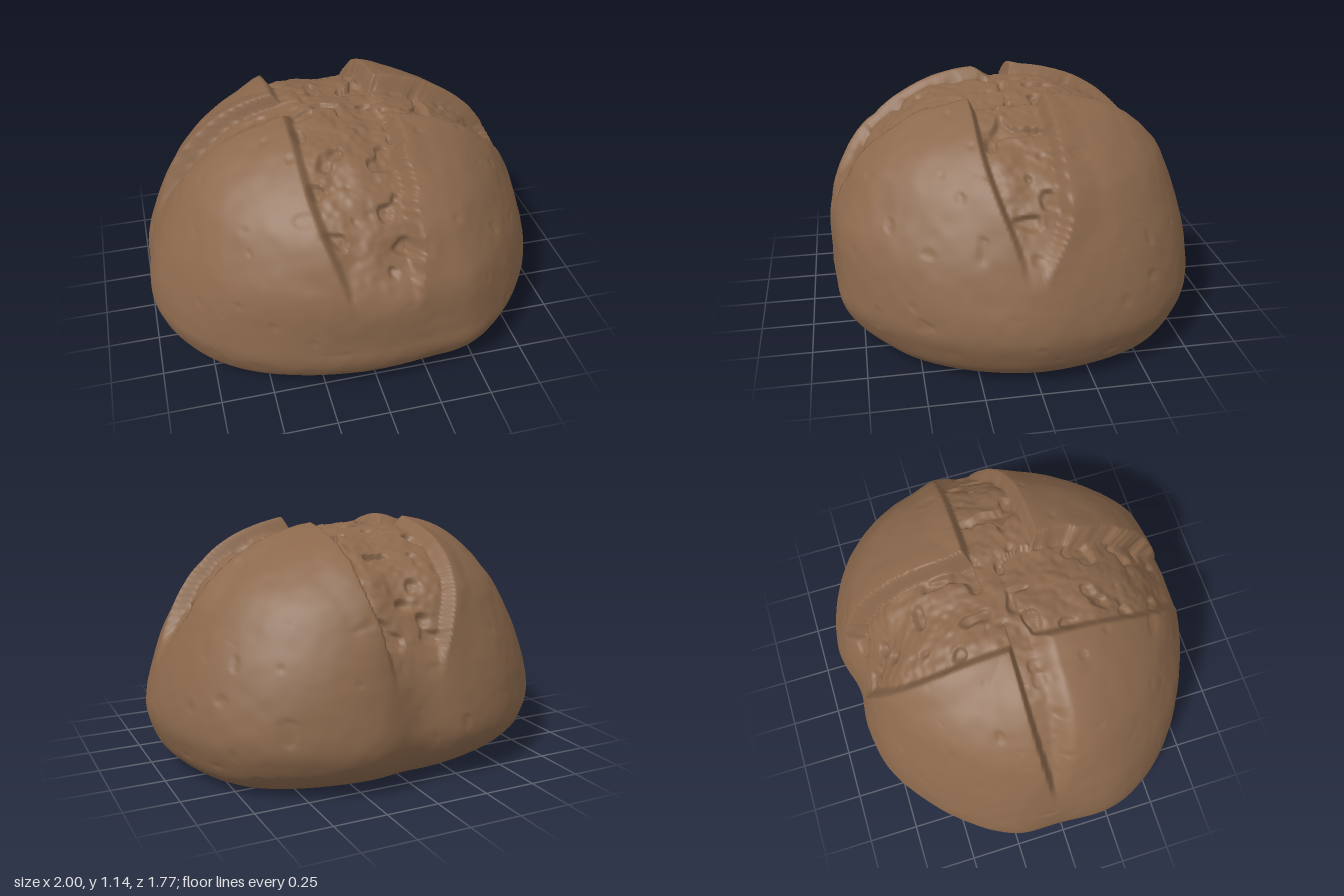
import * as THREE from 'three';

const AROUND = 390, UNDER_ROWS = 25, ROWS = 190;
const { smoothstep: smooth, lerp, clamp } = THREE.MathUtils;

// Smooth seeded value noise, -1 to 1
function hash(x, y, z) {
  const s = Math.sin(x * 127.1 + y * 311.7 + z * 74.7) * 43758.5453;
  return (s - Math.floor(s)) * 2 - 1;
}
function noise(x, y, z) {
  const i = Math.floor(x), j = Math.floor(y), k = Math.floor(z);
  const u = smooth(x - i, 0, 1), v = smooth(y - j, 0, 1), w = smooth(z - k, 0, 1);
  const row = (b, c) => lerp(hash(i, b, c), hash(i + 1, b, c), u);
  return lerp(lerp(row(j, k), row(j + 1, k), v), lerp(row(j, k + 1), row(j + 1, k + 1), v), w);
}

// Plan outline: radius every 15 degrees, from +x towards +z
const radii = [1.01, .995, .985, .975, .965, .905, .89, .895, .92, .96, .995, 1.015,
  .975, .985, .955, .925, .905, .865, .83, .91, .965, 1.005, 1.025, 1.015];
const outline = new THREE.CatmullRomCurve3(radii.map((r, i) => {
  const a = i * Math.PI / 12;
  return new THREE.Vector3(r * Math.cos(a), 0, r * Math.sin(a));
}), true);

// Side profile: fraction of the outline and height, underside to crown
const profile = new THREE.SplineCurve([[0, .025], [.45, .02], [.72, .012], [.85, .027], [.935, .088],
  [.98, .18], [1, .28], [.975, .425], [.91, .605], [.8, .81], [.72, .91], [.6, 1.01], [.45, 1.085],
  [.25, 1.135], [0, 1.155]].map(p => new THREE.Vector2(...p)));

// A cut between two edges: 1 inside, 0 outside, plus a raised lip just outside.
// A wide ramp gives a sloping side instead of a sharp wall.
function band(p, lo, hi, lipLo, lipHi, rampLo = .012, rampHi = .012) {
  const a = p - lo, b = hi - p;
  const lip = a < b ? lipLo * smooth(a, -.16, 0) : lipHi * smooth(b, -.16, 0);
  return { inside: smooth(a, -.006, rampLo) * smooth(b, -.006, rampHi), lip };
}

// Radial displacement of the crust: the cross-shaped cut with its torn floor
function displacement(x, y, z) {
  const open = smooth(y, .48, .82), rise = smooth(y, .5, 1.08);
  const jag = .025 * noise(x * 9, y * 9, z * 9) + .01 * noise(x * 22, y * 22, z * 22);
  const lengthways = z > 0
    ? band(x, lerp(-.14, -.27, rise), lerp(.17, .21, rise) + jag, .01, .012, .03)
    : band(x, lerp(-.12, -.28, rise), lerp(.13, .23, rise) + jag * .5, .02, .012);
  const across = x > 0
    ? band(z, lerp(-.02, -.14, smooth(y, .5, .8)), lerp(.06, .2, rise), .018, .012)
    : band(z, lerp(-.04, -.08, rise), lerp(.01, .12, rise), .025, .002, .012, .1);
  // The floor is deeper towards +x
  const deep = Math.max(lengthways.inside * (.06 + .1 * clamp(x, -.2, .2)),
    across.inside * (x > 0 ? .06 : .045));
  const cut = Math.max(lengthways.inside, across.inside);
  const lip = Math.max(lengthways.lip, across.lip) * (1 - cut);
  const torn = .015 * noise(x * 8 + 5, y * 8, z * 8)
    - .025 * smooth(noise(x * 13, y * 13, z * 13), .3, .5)
    + .005 * noise(x * 30, y * 30, z * 30);
  const rough = x < -.3 ? .4 : 1;
  const crust = .006 * noise(x * 4, y * 4, z * 4) + .002 * noise(x * 16, y * 16, z * 16)
    - .005 * smooth(noise(x * 13 + 9, y * 13, z * 13), .6, .8);
  return crust * smooth(y, .02, .2) + open * (lip + cut * torn * rough - deep);
}

// How much the shoulder swells towards the front and back
function fullness(y, z) {
  return z > 0
    ? 1 + .09 * z * smooth(y, .3, .65) * (1 - .3 * smooth(y, .8, 1.05))
    : 1 - .065 * z * smooth(y, .3, 1);
}

function loafGeometry() {
  const positions = [], index = [];
  // Sparse rows underneath, dense rows over the crust
  const rows = Array.from({ length: ROWS + 1 }, (_, i) => profile.getPointAt(i < UNDER_ROWS
    ? .34 * i / UNDER_ROWS : lerp(.34, 1, (i - UNDER_ROWS) / (ROWS - UNDER_ROWS))));
  const edge = Array.from({ length: AROUND }, (_, j) => outline.getPoint(j / AROUND));
  const centre = new THREE.Vector3(0, .35, 0), p = new THREE.Vector3(), out = new THREE.Vector3();
  rows.forEach(({ x: f, y }) => {
    for (const e of edge) {
      // The underside lifts at the front and back, and most at the back -x corner
      const corner = .03 * smooth(-(e.x + e.z) * f, .7, 1.2);
      const lift = (.05 * smooth(Math.abs(e.z) * f, .5, .9) + corner) * (1 - smooth(y, .02, .25));
      p.set(e.x * f, y + lift, e.z * f * fullness(y, e.z));
      out.copy(p).sub(centre).normalize();
      p.addScaledVector(out, displacement(p.x, p.y, p.z));
      positions.push(p.x, p.y, p.z);
    }
  });
  for (let i = 0; i < ROWS; i++) {
    for (let j = 0; j < AROUND; j++) {
      const k = (j + 1) % AROUND;
      const a = i * AROUND + j, b = i * AROUND + k, c = a + AROUND, d = b + AROUND;
      if (i < ROWS - 1) index.push(a, c, d);
      if (i > 0 && i < ROWS - 1) index.push(a, d, b);
      if (i === ROWS - 1) index.push(a, c, b);
    }
  }
  const geometry = new THREE.BufferGeometry();
  geometry.setAttribute('position', new THREE.Float32BufferAttribute(positions, 3));
  geometry.setIndex(index);
  // Rest on the ground, centred
  geometry.computeBoundingBox();
  const box = geometry.boundingBox, mid = box.getCenter(new THREE.Vector3());
  geometry.translate(-mid.x, -box.min.y, -mid.z);
  geometry.computeVertexNormals();
  return geometry;
}

export function createModel() {
  const group = new THREE.Group();
  group.name = 'breadLoaf';
  const crust = new THREE.MeshStandardMaterial({ color: 0x8b684c });
  crust.name = 'brown crust';
  const loaf = new THREE.Mesh(loafGeometry(), crust);
  loaf.name = 'scoredLoaf';
  group.add(loaf);
  return group;
}
